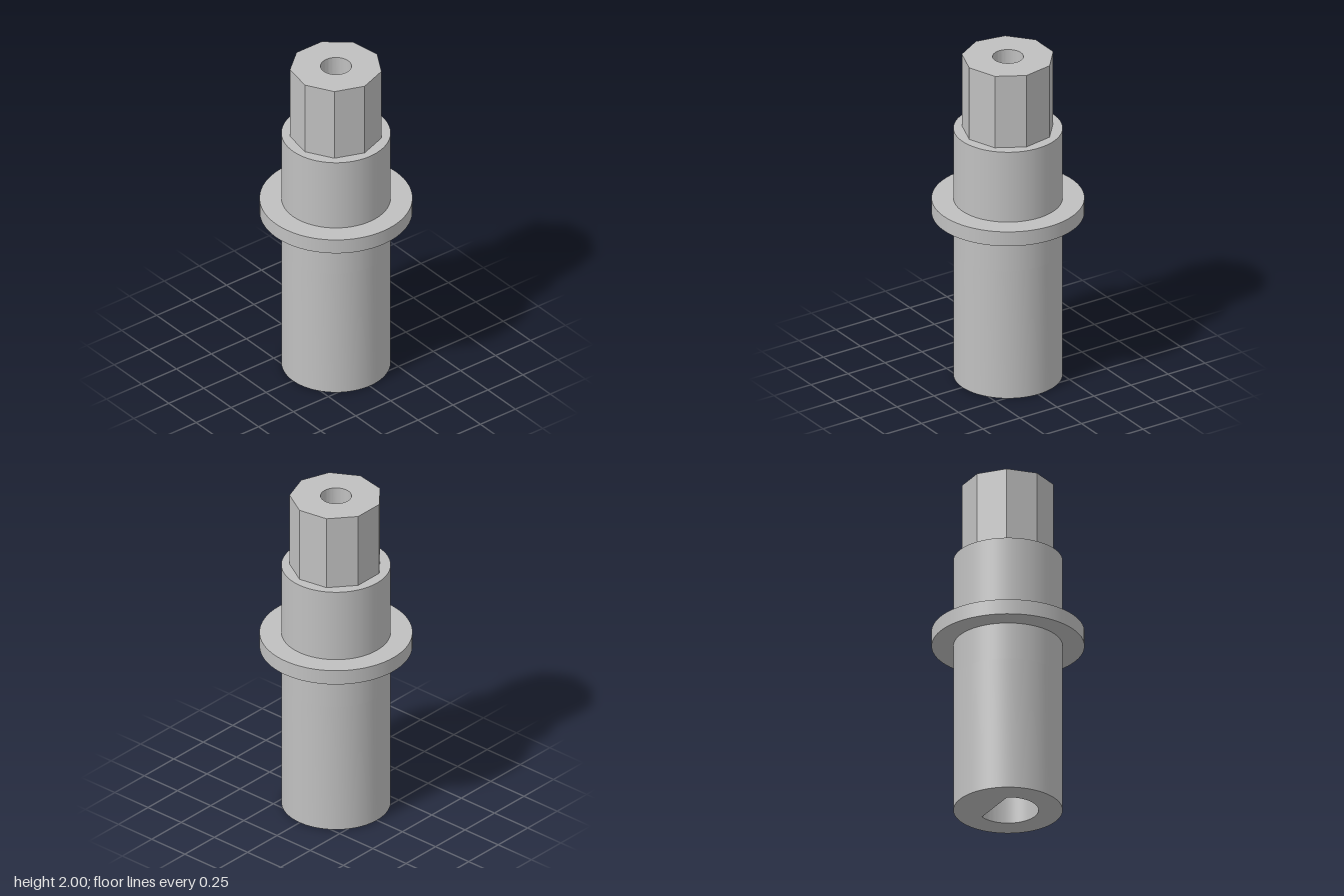
import * as THREE from 'three';
import { toCreasedNormals } from 'three/addons/utils/BufferGeometryUtils.js';

const BODY_R = 0.308, FLANGE_R = 0.431, SOCKET_R = 0.172, SCREW_R = 0.087, HEAD_R = 0.262;

export function createModel() {
  const group = new THREE.Group();
  const metal = new THREE.MeshStandardMaterial({ color: 0xc0c0c0 });
  metal.name = 'grey metal';

  const add = (name, geometry, y) => {
    const mesh = new THREE.Mesh(geometry, metal);
    mesh.name = name;
    mesh.position.y = y;
    group.add(mesh);
  };

  // Upright prism from a flat outline, standing on its own y = 0
  const prism = (shape, height) => {
    const g = new THREE.ExtrudeGeometry(shape, { depth: height, bevelEnabled: false, curveSegments: 36 });
    g.rotateX(-Math.PI / 2);
    return toCreasedNormals(g, Math.PI / 6);
  };

  const disc = (radius, y0, y1) =>
    new THREE.CylinderGeometry(radius, radius, y1 - y0, 72).translate(0, (y1 - y0) / 2, 0);

  // Lower shaft with a D-shaped socket, flat on the -x side
  const shaft = new THREE.Shape().absarc(0, 0, BODY_R, 0, Math.PI * 2);
  const socketAngle = Math.PI * 2 / 3;
  shaft.holes.push(new THREE.Path().absarc(0, 0, SOCKET_R, -socketAngle, socketAngle));
  add('lowerShaft', prism(shaft, 0.8), 0);

  // Solid core closes both bores
  add('upperShaft', disc(BODY_R, 0.8, 1.55), 0.8);
  add('flange', disc(FLANGE_R, 1.02, 1.11), 1.02);

  // Nine-sided head with a round screw hole
  const corners = Array.from({ length: 9 }, (_, i) => {
    const a = i * Math.PI * 2 / 9;
    return new THREE.Vector2(HEAD_R * Math.cos(a), HEAD_R * Math.sin(a));
  });
  const head = new THREE.Shape(corners);
  head.holes.push(new THREE.Path().absarc(0, 0, SCREW_R, 0, Math.PI * 2));
  add('nineSidedHead', prism(head, 0.45), 1.55);

  return group;
}
